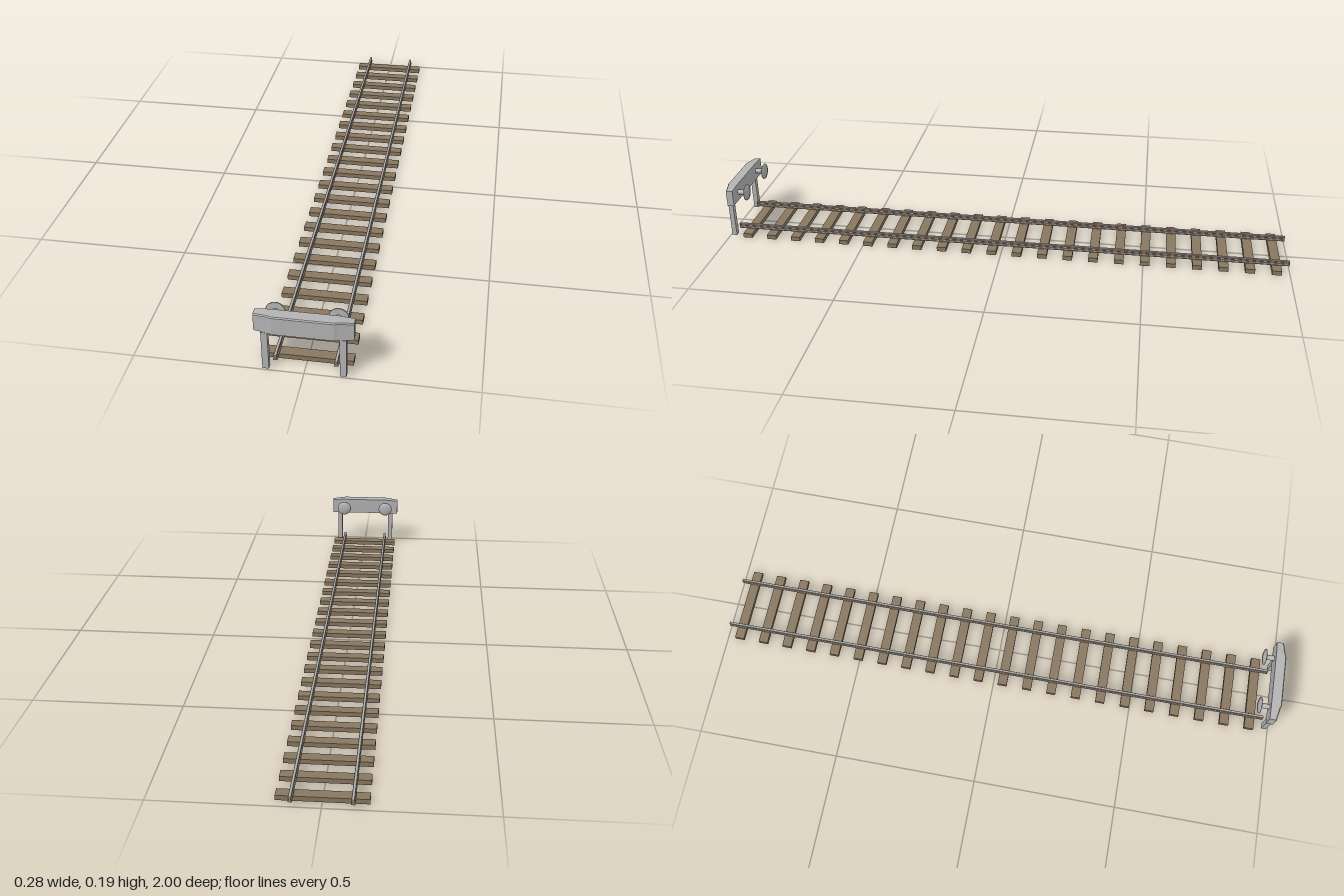
import * as THREE from 'three';

const material = (name, color) => {
  const m = new THREE.MeshStandardMaterial({ color });
  m.name = name;
  return m;
};

export function createModel() {
  const model = new THREE.Group();
  model.name = 'railwayTrackWithEndStop';
  const wood = material('sleeper wood', 0x88765f);
  const rust = material('rusty rail', 0x9c8b7c);
  const steel = material('polished rail', 0xb0b0b0);
  const grey = material('end stop grey', 0xb3b3b3);

  const add = (name, geometry, mat, x = 0, y = 0, z = 0) => {
    const mesh = new THREE.Mesh(geometry, mat);
    mesh.name = name;
    mesh.position.set(x, y, z);
    model.add(mesh);
  };

  // Sleepers
  const sleeper = new THREE.BoxGeometry(0.268, 0.016, 0.033);
  for (let i = 0; i < 22; i++) add('sleeper', sleeper, wood, 0, 0.008, -0.955 + i * 0.0898);

  // Rail section: foot, web and head
  const half = [[0.006, 0], [0.006, 0.003], [0.0028, 0.006], [0.0028, 0.010], [0.0046, 0.012], [0.0046, 0.016], [0.0035, 0.0175]];
  const section = new THREE.Shape([
    ...half.map(([x, y]) => new THREE.Vector2(x, y)),
    ...half.slice().reverse().map(([x, y]) => new THREE.Vector2(-x, y)),
  ]);
  const rail = new THREE.ExtrudeGeometry(section, { depth: 1.975, bevelEnabled: false });
  const railTop = new THREE.BoxGeometry(0.007, 0.0006, 1.975);

  // Domed bumper disc and its shaft, revolved about the axis pointing backwards
  const discProfile = [[0, 0], [0.028, 0], [0.029, 0.002], [0.028, 0.005], [0.019, 0.0085], [0.010, 0.0105], [0, 0.011]]
    .map(([r, y]) => new THREE.Vector2(r, y));
  const disc = new THREE.LatheGeometry(discProfile, 24).rotateX(-Math.PI / 2);
  const shaft = new THREE.CylinderGeometry(0.009, 0.009, 0.034, 16).rotateX(Math.PI / 2);
  const post = new THREE.BoxGeometry(0.019, 0.132, 0.017);

  for (const side of [-1, 1]) {
    add('rail', rail, rust, side * 0.088, 0.016, -1);
    add('railRunningSurface', railTop, steel, side * 0.088, 0.0336, -0.0125);
    add('stopPost', post, grey, side * 0.1115, 0.066, 0.9865);
    add('bumperShaft', shaft, grey, side * 0.09, 0.1625, 0.949);
    add('bumperDisc', disc, grey, side * 0.09, 0.1625, 0.934);
  }

  // Stop beam: cross-sections [x, top, front z] joined in a loop
  const stations = [
    [-0.142, 0.189, 0.988], [-0.1, 0.193, 0.996], [-0.088, 0.193, 1],
    [0.088, 0.193, 1], [0.1, 0.193, 0.996], [0.142, 0.189, 0.988],
  ];
  const rings = stations.map(([x, top, front]) => [
    [x, 0.132, 0.964], [x, 0.132, front], [x, top - 0.003, front], [x, top, front - 0.003], [x, top, 0.964],
  ]);
  const points = [];
  const n = rings[0].length;
  for (let s = 0; s < rings.length - 1; s++) {
    for (let i = 0; i < n; i++) {
      const a = rings[s][i], b = rings[s][(i + 1) % n];
      const c = rings[s + 1][(i + 1) % n], d = rings[s + 1][i];
      points.push(...a, ...c, ...b, ...a, ...d, ...c);
    }
  }
  // Beam ends
  const first = rings[0], last = rings[rings.length - 1];
  for (let i = 1; i < n - 1; i++) {
    points.push(...first[0], ...first[i], ...first[i + 1]);
    points.push(...last[0], ...last[i + 1], ...last[i]);
  }
  const beam = new THREE.BufferGeometry();
  beam.setAttribute('position', new THREE.Float32BufferAttribute(points, 3));
  beam.computeVertexNormals();
  add('stopBeam', beam, grey);

  return model;
}
